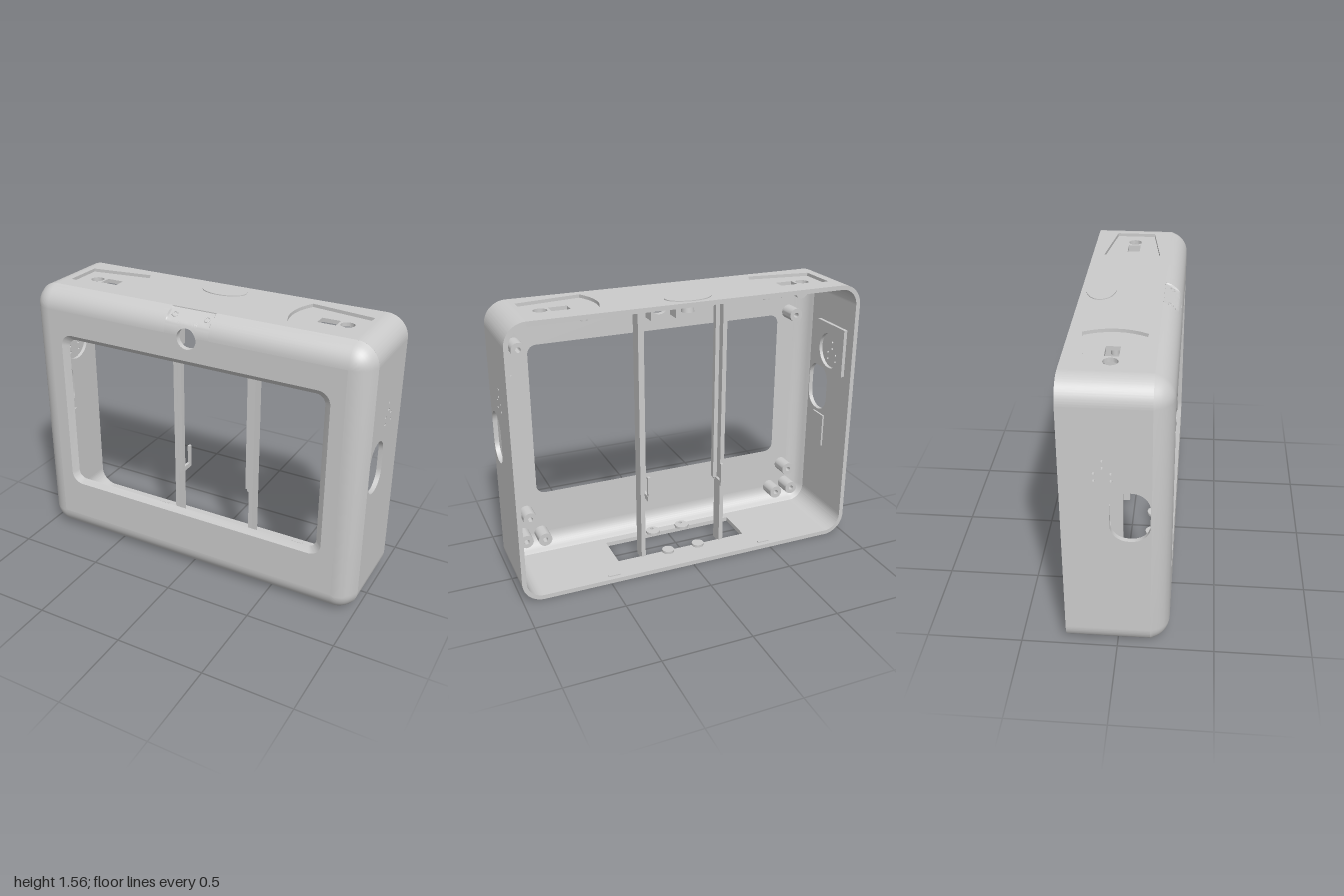
import * as THREE from 'three';
import { toCreasedNormals } from 'three/addons/utils/BufferGeometryUtils.js';

const mat = new THREE.MeshStandardMaterial({ color: 0xcccccc, side: THREE.DoubleSide });
const T = 0.025, R = 0.12, TOP = 1.555, BACK = -0.265, FLAT = 0.17;
const CX = 1 - R, Y0 = R, Y1 = TOP - R, ZC = 0.145; // fillet centre lines
const HOLE_Y = 1.42, HOLE_R = 0.058;

export function createModel() {
  const root = new THREE.Group();

  const add = (name, geo, x = 0, y = 0, z = 0) => {
    const m = new THREE.Mesh(geo, mat);
    m.name = name;
    m.position.set(x, y, z);
    root.add(m);
    return m;
  };
  const box = (name, w, h, d, x, y, z) => add(name, new THREE.BoxGeometry(w, h, d), x, y, z);
  const extrude = (shape, depth) => toCreasedNormals(
    new THREE.ExtrudeGeometry(shape, { depth, bevelEnabled: false, curveSegments: 16 }), 0.6);
  const poly = pts => new THREE.Shape(pts.map(p => new THREE.Vector2(...p)));
  const rect = (x0, x1, y0, y1) => poly([[x0, y0], [x1, y0], [x1, y1], [x0, y1]]);
  const disc = (x, y, r) => new THREE.Shape().absarc(x, y, r, 0, Math.PI * 2);
  // points of a rounded rectangle, counterclockwise from its top left
  const roundPts = (x0, x1, y0, y1, r, n = 10) => {
    const pts = [];
    [[x0 + r, y1 - r], [x0 + r, y0 + r], [x1 - r, y0 + r], [x1 - r, y1 - r]].forEach(([cx, cy], q) => {
      for (let i = 0; i <= n; i++) {
        const a = Math.PI / 2 * (1 + q + i / n);
        pts.push([cx + r * Math.cos(a), cy + r * Math.sin(a)]);
      }
    });
    return pts;
  };
  // skin over rows of equally many points
  const skin = rows => {
    const n = rows[0].length, idx = [];
    for (let j = 0; j < rows.length - 1; j++) for (let i = 0; i < n - 1; i++) {
      const a = j * n + i, b = a + n;
      idx.push(a, a + 1, b, a + 1, b + 1, b);
    }
    const g = new THREE.BufferGeometry();
    g.setAttribute('position', new THREE.Float32BufferAttribute(rows.flat(2), 3));
    g.setIndex(idx);
    return toCreasedNormals(g, 0.6);
  };
  // panel drawn in x,z with its upper side at y; panel drawn in z,y with its +x side at x
  const level = (name, shape, y, t) => add(name, extrude(shape, t).rotateX(Math.PI / 2), 0, y, 0);
  const upright = (name, shape, x, t) => add(name, extrude(shape, t).rotateY(-Math.PI / 2), x, 0, 0);

  // rounded corners of the casing
  for (const sx of [0, 1]) for (const sy of [0, 1]) {
    const a = [[Math.PI, Math.PI / 2], [-Math.PI / 2, 0]][sx][sy];
    const cx = sx ? CX : -CX, cy = sy ? Y1 : Y0;
    const s = new THREE.Shape().absarc(cx, cy, R, a, a + Math.PI / 2);
    s.absarc(cx, cy, R - T, a + Math.PI / 2, a, true);
    if (sy) { // upper corners run from the side to the top
      const b = sx ? 0 : Math.PI / 2;
      s.curves.length = 0;
      s.absarc(cx, cy, R, b, b + Math.PI / 2);
      s.absarc(cx, cy, R - T, b + Math.PI / 2, b, true);
    }
    add('casingCorner', extrude(s, FLAT - BACK), 0, 0, BACK);
  }

  // side walls with handle opening and sound holes, and a speaker frame inside
  for (const s of [1, -1]) {
    const wall = rect(BACK, FLAT, Y0, Y1);
    wall.holes.push(poly(roundPts(-0.03, 0.165, 0.7, 0.985, 0.09)));
    for (const [z, y] of [[-0.06, 1.16], [-0.06, 1.12], [-0.02, 1.09], [-0.1, 1.09], [-0.02, 1.05], [-0.1, 1.05]])
      wall.holes.push(disc(z, y, 0.007));
    upright('sideWall', wall, s > 0 ? 1 : -1 + T, T);
    const frame = rect(-0.2, 0.08, 0.99, 1.27);
    frame.holes.push(disc(-0.06, 1.11, 0.105));
    upright('speakerFrame', frame, s > 0 ? 1 - T : -1 + T + 0.02, 0.02);
  }
  box('sidePad', 0.012, 0.2, 0.11, -0.97, 0.58, 0.03);

  // top wall with two fan-shaped recesses
  const fan = (s, grow) => {
    const g = grow, p = [[0.855 + g, -0.15 - g], [0.855 + g, 0.07 + g], [0.5 - g, 0.12 + g]];
    for (let i = 1; i < 8; i++) {
      const u = i / 4 - 1;
      p.push([0.5 - g - 0.045 * (1 - u * u), -0.04 - u * (0.16 + g)]);
    }
    p.push([0.5 - g, -0.2 - g]);
    return poly(p.map(([x, z]) => [s * x, z]));
  };
  const topWall = rect(-CX, CX, BACK, FLAT);
  for (const s of [1, -1]) {
    topWall.holes.push(fan(s, 0));
    const floor = fan(s, 0.015);
    const slot = [s * 0.605, s * 0.705].sort((a, b) => a - b);
    floor.holes.push(disc(s * 0.755, -0.04, 0.037), rect(...slot, -0.075, -0.005));
    level('recessFloor', floor, TOP - 0.018, 0.022);
    add('recessPost', new THREE.CylinderGeometry(0.02, 0.02, 0.06, 16), s * 0.53, 1.49, -0.04);
    box('ceilingRib', 0.07, 0.006, 0.015, s * 0.35, TOP - T - 0.003, -0.23);
    box('floorRib', 0.07, 0.006, 0.015, s * 0.47, T + 0.003, -0.23);
  }
  level('topWall', topWall, TOP, T);
  add('topButton', new THREE.CylinderGeometry(0.13, 0.13, 0.008, 40).scale(1, 1, 0.61), 0, TOP + 0.001, -0.16);
  add('buttonPost', new THREE.CylinderGeometry(0.03, 0.035, 0.05, 20), 0, 1.505, -0.16);

  // bottom wall with a rectangular opening and round tabs around it
  const floor = rect(-CX, CX, BACK, FLAT);
  floor.holes.push(rect(-0.4, 0.4, -0.1, 0.12));
  for (const s of [1, -1]) {
    floor.holes.push(disc(s * 0.095, 0.15, 0.012));
    const tab = disc(s * 0.095, 0.13, 0.042);
    tab.holes.push(disc(s * 0.095, 0.15, 0.012));
    level('frontTab', tab, T + 0.015, 0.015);
    level('backTab', disc(s * 0.095, -0.11, 0.035), T + 0.015, 0.015);
  }
  level('bottomWall', floor, T, T);

  // front: outer and inner skins, each a flat face, a rolled edge and a patch above the lens hole
  const windows = [roundPts(-0.805, 0.805, 0.345, 1.3, 0.07), roundPts(-0.77, 0.77, 0.375, 1.27, 0.05)];
  const GAP = 0.13, HX = 0.056;
  [0, T].forEach((t, k) => {
    const r = R - t, side = k ? 'Inner' : 'Outer';
    const face = new THREE.Shape().moveTo(-CX, Y0).lineTo(CX, Y0).lineTo(CX, Y1).lineTo(HX, Y1);
    const a = Math.asin((Y1 - HOLE_Y) / HOLE_R);
    face.absarc(0, HOLE_Y, HOLE_R, a, Math.PI - a, true);
    face.lineTo(-CX, Y1);
    face.holes.push(poly(windows[k]));
    add('frontFace' + side, new THREE.ShapeGeometry(face, 32), 0, 0, ZC + r);

    const rows = [];
    const start = Math.asin((FLAT - ZC) / r);
    for (let j = 0; j <= 10; j++) {
      const f = start + (Math.PI / 2 - start) * j / 10;
      const e = j === 0 ? r : r * Math.cos(f), z = ZC + r * Math.sin(f);
      const pts = roundPts(-CX - e, CX + e, Y0 - e, Y1 + e, e);
      rows.push([[-GAP, Y1 + e], ...pts, [GAP, Y1 + e]].map(([x, y]) => [x, y, z]));
    }
    add('rolledEdge' + side, skin(rows));

    const xs = [-GAP, -0.125, -0.09];
    for (let i = 0; i <= 16; i++) xs.push(-HX * Math.cos(Math.PI * i / 16));
    xs.push(0.09, 0.125, GAP);
    add('lensPatch' + side, skin(xs.map(x => {
      const low = Math.abs(x) < HX ? HOLE_Y + Math.sqrt(HOLE_R ** 2 - x * x) : Y1;
      const f0 = Math.asin((low - Y1) / r), line = [];
      for (let j = 0; j <= 20; j++) {
        const f = f0 + (Math.PI / 2 - f0) * j / 20;
        const y = Y1 + r * Math.sin(f);
        let z = ZC + r * Math.cos(f);
        // flat bracket seat cut across the rolled edge
        if (!k && Math.abs(x) <= 0.125 && y > 1.5) z = Math.min(z, 0.246 - (y - 1.5) * 1.528);
        line.push([x, y, z]);
      }
      return line;
    })));
  });
  const ring = (pts, z) => [...pts, pts[0]].map(([x, y]) => [x, y, z]);
  add('windowBevel', skin([ring(windows[0], ZC + R), ring(windows[1], ZC + R - T)]));
  add('lensHole', new THREE.CylinderGeometry(HOLE_R, HOLE_R, 0.03, 40, 1, true).rotateX(Math.PI / 2), 0, HOLE_Y, 0.244);
  for (const s of [1, -1]) {
    add('seatScrewHole', new THREE.TorusGeometry(0.015, 0.003, 6, 20), s * 0.095, 1.525, 0.208).rotation.x = -0.99;
    box('lensBracket', 0.012, 0.12, 0.09, s * 0.075, 1.41, 0.2);
  }

  // screw bosses behind the front face in each corner
  const bossShape = disc(0, 0, 0.04);
  bossShape.holes.push(disc(0, 0, 0.015));
  const boss = extrude(bossShape, 0.1);
  for (const s of [1, -1]) for (const up of [false, true])
    for (const [x, y] of [[0.84, 0.27], [0.87, 0.13], [0.76, 0.12]])
      add('screwBoss', boss, s * x, up ? TOP - y : y, 0.14);

  // upright rails with a step near the foot and a clip behind
  for (const s of [1, -1]) {
    box('railSpine', 0.025, 1.51, 0.075, s * 0.247, 0.765, -0.07);
    box('railFlange', 0.025, 1.07, 0.03, s * 0.223, 0.965, -0.05);
    box('railStop', 0.015, 0.02, 0.03, s * 0.228, 0.425, -0.05);
    box('railClip', 0.015, 0.14, 0.02, s * 0.225, 0.48, -0.145);
    box('clipFoot', 0.015, 0.03, 0.08, s * 0.228, 0.42, -0.115);
  }
  return root;
}
